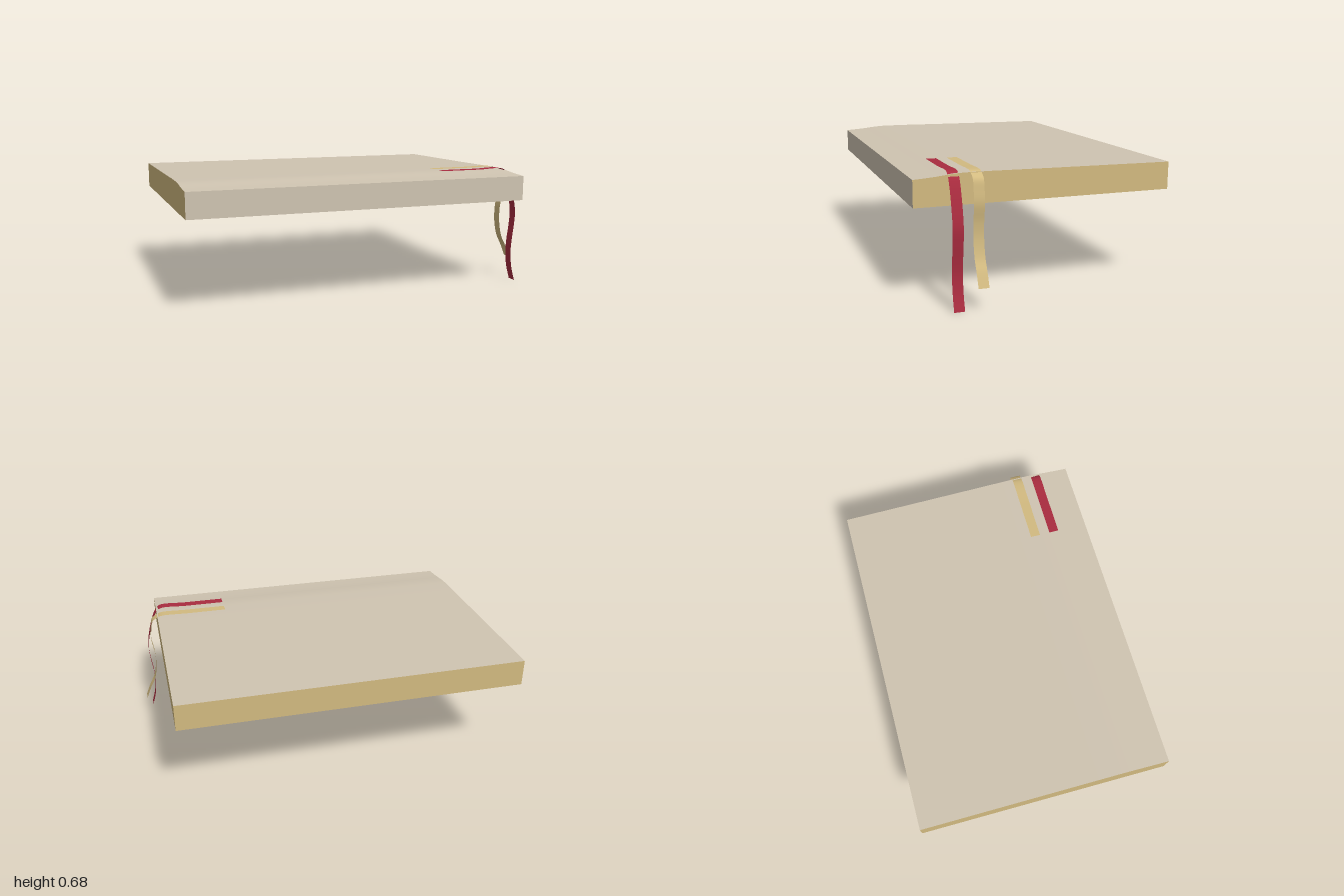
import * as THREE from 'three';

const paper = new THREE.MeshStandardMaterial({ color: 0xcfc4b1 });
paper.name = 'paper';
const gold = new THREE.MeshStandardMaterial({ color: 0xd2ba80, side: THREE.DoubleSide });
gold.name = 'gold';
const red = new THREE.MeshStandardMaterial({ color: 0xa92c3f, side: THREE.DoubleSide });
red.name = 'red';

// Height of the page surface from the back (-z) to the front (+z)
const BOTTOM = 0.51;
const TOP = [[-0.685, 0.655], [0.0, 0.662], [0.3, 0.666], [0.44, 0.666], [0.5, 0.662], [0.56, 0.655], [0.62, 0.65], [0.685, 0.646]];
function topHeight(z) {
  for (let i = 1; i < TOP.length; i++) {
    const [z0, y0] = TOP[i - 1], [z1, y1] = TOP[i];
    if (z <= z1) return THREE.MathUtils.lerp(y0, y1, Math.max(0, (z - z0) / (z1 - z0)));
  }
  return TOP[TOP.length - 1][1];
}

// Page block: a box whose top follows the page surface
function makePages() {
  const geo = new THREE.BoxGeometry(1.885, 1, 1.37, 1, 1, 48);
  const p = geo.attributes.position;
  for (let i = 0; i < p.count; i++) {
    p.setX(i, p.getX(i) - 0.0575);
    p.setY(i, p.getY(i) > 0 ? topHeight(p.getZ(i)) : BOTTOM);
  }
  geo.computeVertexNormals();
  // Gilded edges on both sides and the back
  const mesh = new THREE.Mesh(geo, [gold, gold, paper, paper, paper, gold]);
  mesh.name = 'pageBlock';
  return mesh;
}

// Ribbon: a flat strip swept along an x-y path
function makeRibbon(name, points, z, material) {
  const curve = new THREE.CatmullRomCurve3(points.map(([x, y]) => new THREE.Vector3(x, y, 0)), false, 'centripetal');
  const geo = new THREE.PlaneGeometry(1, 0.055, 80, 1);
  const p = geo.attributes.position;
  for (let i = 0; i < p.count; i++) {
    const c = curve.getPointAt(THREE.MathUtils.clamp(p.getX(i) + 0.5, 0, 1));
    p.setXYZ(i, c.x, c.y, z - p.getY(i));
  }
  geo.computeVertexNormals();
  const mesh = new THREE.Mesh(geo, material);
  mesh.name = name;
  return mesh;
}

export function createModel() {
  const group = new THREE.Group();
  group.name = 'book';
  group.add(makePages());
  group.add(makeRibbon('redRibbon', [
    [0.475, 0.671], [0.7, 0.671], [0.86, 0.671], [0.885, 0.65], [0.91, 0.6], [0.94, 0.5], [0.955, 0.41],
    [0.95, 0.33], [0.94, 0.25], [0.935, 0.17], [0.945, 0.08], [0.967, 0],
  ], 0.485, red));
  group.add(makeRibbon('goldRibbon', [
    [0.475, 0.671], [0.7, 0.671], [0.865, 0.671], [0.89, 0.66], [0.917, 0.64], [0.93, 0.58], [0.935, 0.52],
    [0.922, 0.42], [0.922, 0.34], [0.94, 0.25], [0.97, 0.19], [1, 0.118],
  ], 0.372, gold));
  return group;
}
